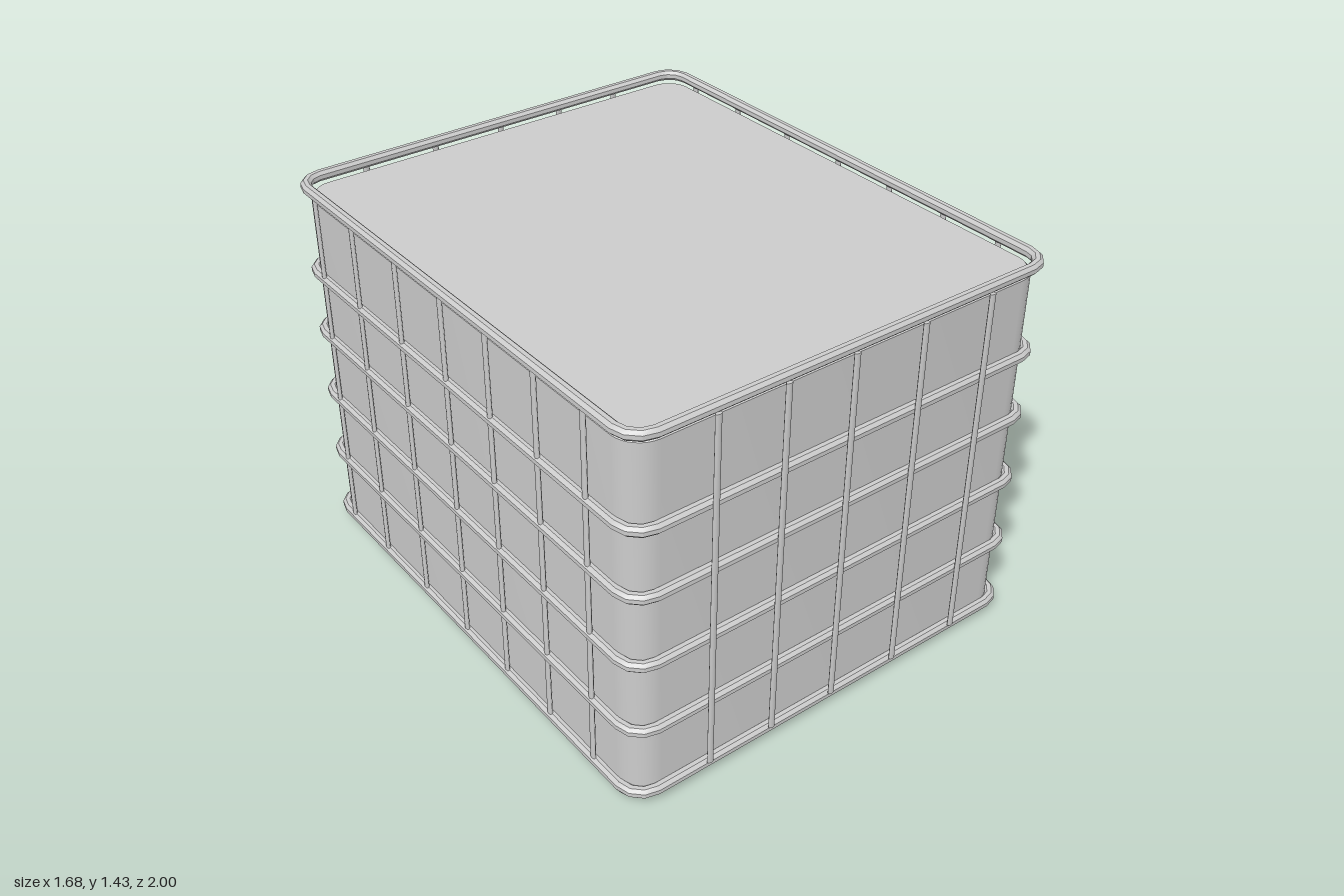
import * as THREE from 'three';
import { toCreasedNormals } from 'three/addons/utils/BufferGeometryUtils.js';

const CX = -0.009; // the cage sits slightly off centre because of the side plate
const material = new THREE.MeshStandardMaterial({ color: 0xcccccc });

function add(parent, geometry, name, x = 0, y = 0, z = 0) {
  const mesh = new THREE.Mesh(geometry, material);
  mesh.name = name;
  mesh.position.set(x, y, z);
  parent.add(mesh);
  return mesh;
}

// Rounded rectangle, as points with their corner direction
function outline(hx, hz, r, steps) {
  const points = [];
  [[1, 1], [-1, 1], [-1, -1], [1, -1]].forEach(([sx, sz], q) => {
    for (let i = 0; i <= steps; i++) {
      const a = (q + i / steps) * Math.PI / 2;
      points.push({ x: sx * (hx - r), z: sz * (hz - r), r, dx: Math.cos(a), dz: Math.sin(a) });
    }
  });
  return points;
}

// Upright slab with rounded corners and chamfered top and bottom edges
function slab(hx, hz, r, height, bevel) {
  const pts = outline(hx - bevel, hz - bevel, r - bevel, 8)
    .map(p => new THREE.Vector2(p.x + p.r * p.dx, p.z + p.r * p.dz));
  const g = new THREE.ExtrudeGeometry(new THREE.Shape(pts), {
    depth: height - 2 * bevel, bevelEnabled: true, bevelSegments: 1,
    bevelSize: bevel, bevelThickness: bevel,
  });
  g.rotateX(-Math.PI / 2).translate(0, bevel, 0);
  return toCreasedNormals(g, 0.5);
}

// Octagonal tube swept round a rounded rectangle
function hoop(hx, hz, r, tube) {
  const path = outline(hx, hz, r, 3), sides = 8, pos = [], index = [];
  path.forEach((p, i) => {
    for (let j = 0; j < sides; j++) {
      const a = (j + 0.5) / sides * Math.PI * 2;
      const d = p.r + tube * Math.cos(a);
      pos.push(p.x + d * p.dx, tube * Math.sin(a), p.z + d * p.dz);
      const n = ((i + 1) % path.length) * sides, k = (j + 1) % sides, m = i * sides;
      index.push(m + j, m + k, n + j, m + k, n + k, n + j);
    }
  });
  const g = new THREE.BufferGeometry();
  g.setAttribute('position', new THREE.Float32BufferAttribute(pos, 3));
  g.setIndex(index);
  return toCreasedNormals(g, 0.4);
}

export function createModel() {
  const model = new THREE.Group();
  model.name = 'cagedTank';

  // Tank and base tray
  add(model, slab(0.81, 0.963, 0.1, 1.375, 0.015), 'tank', CX, 0.012);
  add(model, slab(0.826, 0.978, 0.1, 0.06, 0.026), 'baseTray', CX);

  // Horizontal cage hoops
  const hoopGeometry = hoop(0.814, 0.971, 0.08, 0.02);
  for (const y of [0.045, 0.309, 0.576, 0.838, 1.084, 1.41]) {
    add(model, hoopGeometry, 'cageHoop', CX, y);
  }

  // Vertical cage bars, slightly flattened
  const bar = new THREE.CylinderGeometry(0.0125, 0.0125, 1.34, 8);
  const barY = 0.73;
  for (const x of [-0.537, -0.282, -0.022, 0.257, 0.54]) {
    add(model, bar, 'frontBar', CX + x, barY, 0.993).scale.z = 0.56;
    add(model, bar, 'backBar', CX - x, barY, -0.993).scale.z = 0.56;
  }
  for (const z of [0.753, 0.506, 0.247, -0.013, -0.292, -0.576, -0.834]) {
    for (const side of [1, -1]) {
      add(model, bar, 'sideBar', CX + side * 0.822, barY, z).scale.x = 0.56;
    }
  }

  // Side plate with a narrow chamfered edge
  const w = 0.49, h = 0.36, bevel = 0.008;
  const face = new THREE.Shape([[-w, -h], [w, -h], [w, h], [-w, h]].map(p => new THREE.Vector2(...p)));
  const plate = new THREE.ExtrudeGeometry(face, {
    depth: 0.008, bevelEnabled: true, bevelSegments: 1, bevelSize: bevel, bevelThickness: bevel,
  });
  plate.rotateY(Math.PI / 2);
  add(model, plate, 'sidePlate', 0.826, 0.692, 0.012);

  return model;
}
